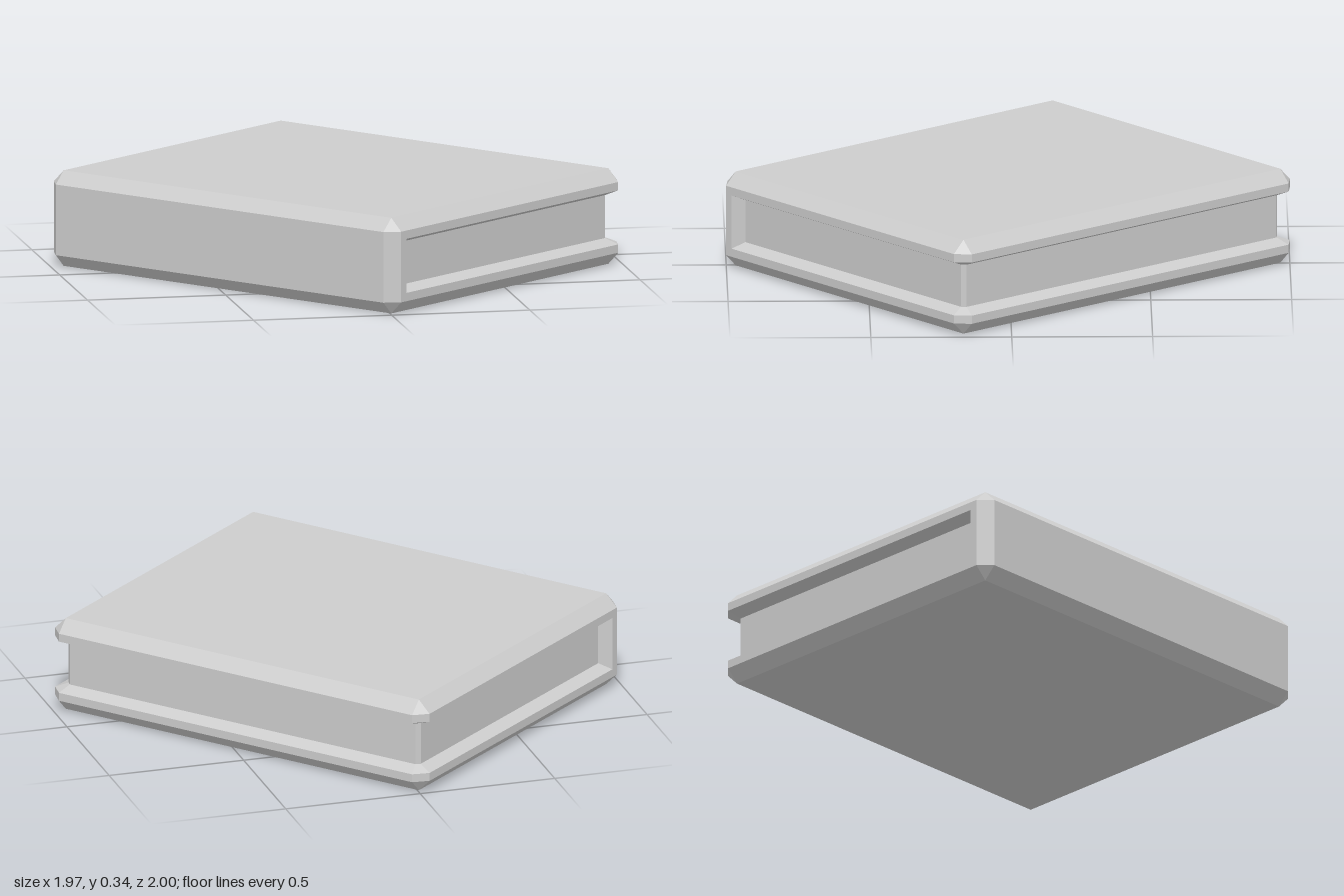
import * as THREE from 'three';

// Half sizes, bevel, page inset, page corner cut, inner edge of the spine
const W = 0.663, L = 0.788, BEVEL = 0.045, INSET = 0.047, CUT = 0.014;
const SPINE = -W + BEVEL + 0.03;

// Plan outlines of the front half, from spine to fore-edge, as [x, z]
const b = BEVEL, d = INSET;
const spineEdge = [[-W, L - b], [b - W, L], [SPINE, L]];
const halves = {
  face: [[b - W, L - b], [b - W, L - b], [SPINE, L - b], [SPINE, L - b], [W - b, L - b], [W - b, L - b]],
  cover: [...spineEdge, [SPINE, L], [W - b, L], [W, L - b]],
  pages: [...spineEdge, [SPINE + 0.02, L - d], [W - d - CUT, L - d], [W - d, L - d - CUT]],
};

// Full closed outline at height y: the front half and its mirror
function outline(kind, y) {
  const half = halves[kind];
  const mirrored = half.map(([x, z]) => [x, -z]).reverse();
  return [...half, ...mirrored].map(([x, z]) => new THREE.Vector3(x, y, z));
}

// Join stacked outlines with flat faces, leaving out collapsed triangles
function loft(levels, capBottom, capTop) {
  const pos = [];
  const tri = (p, q, r) => {
    if (new THREE.Triangle(p, q, r).getArea() > 1e-7) {
      for (const v of [p, q, r]) pos.push(v.x, v.y, v.z);
    }
  };
  const loops = levels.map(([kind, y]) => outline(kind, y));
  const n = loops[0].length;
  for (let k = 0; k < loops.length - 1; k++) {
    const lo = loops[k], hi = loops[k + 1];
    for (let i = 0; i < n; i++) {
      const j = (i + 1) % n;
      tri(lo[i], lo[j], hi[j]);
      tri(lo[i], hi[j], hi[i]);
    }
  }
  const first = loops[0], last = loops[loops.length - 1];
  for (let i = 1; i < n - 1; i++) {
    if (capBottom) tri(first[0], first[i + 1], first[i]);
    if (capTop) tri(last[0], last[i], last[i + 1]);
  }
  const geo = new THREE.BufferGeometry();
  geo.setAttribute('position', new THREE.Float32BufferAttribute(pos, 3));
  geo.computeVertexNormals();
  return geo;
}

export function createModel() {
  const grey = new THREE.MeshStandardMaterial({ color: 0xcccccc });
  grey.name = 'grey';
  const book = new THREE.Group();
  book.name = 'book';
  const add = (name, geo) => {
    const mesh = new THREE.Mesh(geo, grey);
    mesh.name = name;
    book.add(mesh);
  };

  // Bevelled covers whose inner lips slope in to the pages
  add('lowerCover', loft([['face', 0], ['cover', 0.045], ['cover', 0.075], ['pages', 0.095]], true, false));
  add('pagesAndSpine', loft([['pages', 0.095], ['pages', 0.25]], false, false));
  add('upperCover', loft([['pages', 0.25], ['cover', 0.27], ['cover', 0.3], ['face', 0.345]], false, true));

  // The book lies turned so its corners point along the axes
  book.rotation.y = Math.atan2(W, L);
  const model = new THREE.Group();
  model.name = 'closedBook';
  model.add(book);
  return model;
}
